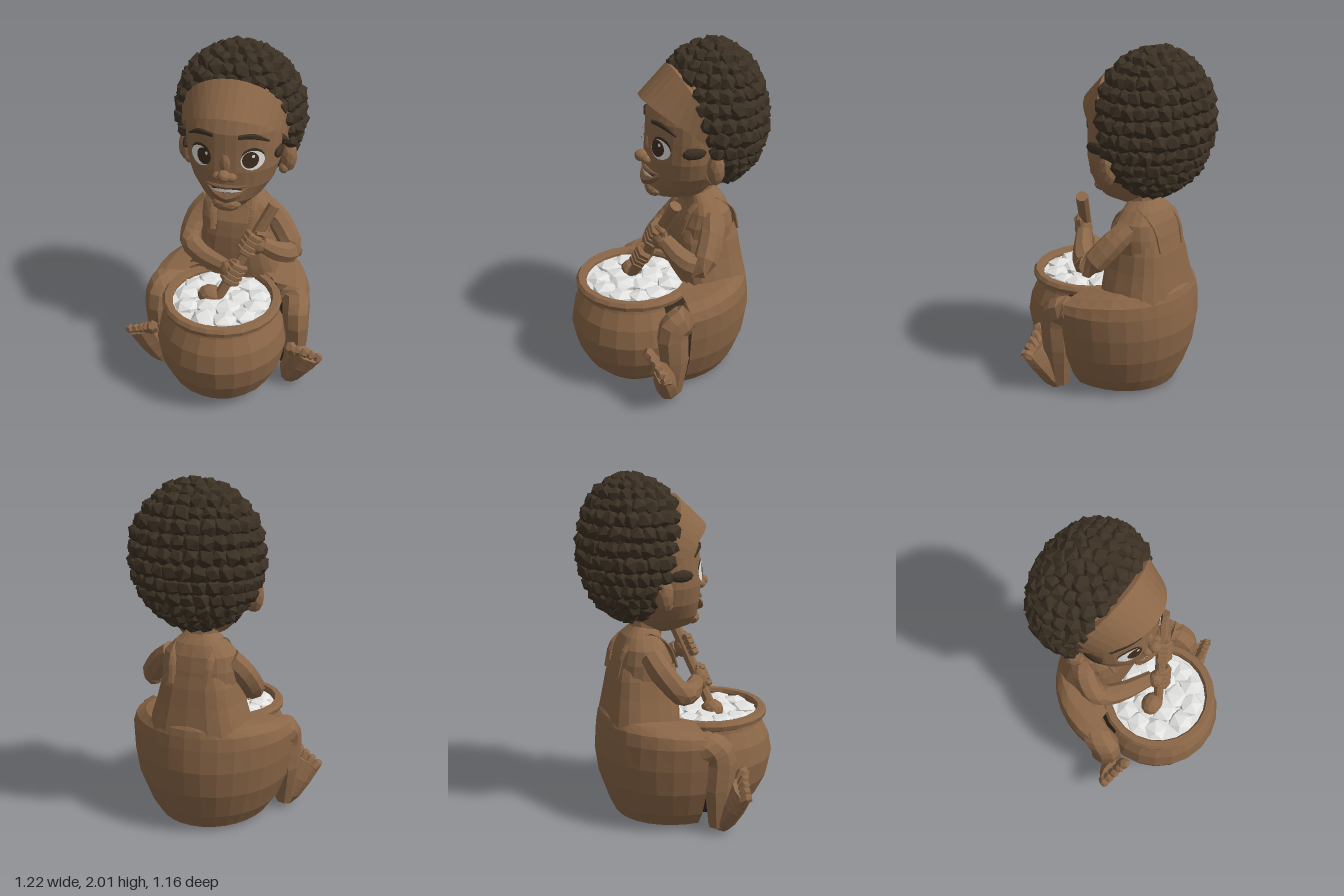
import * as THREE from 'three';
import { mergeGeometries } from 'three/addons/utils/BufferGeometryUtils.js';

const V = (x, y, z) => new THREE.Vector3(x, y, z);
const mat = (name, color) => Object.assign(new THREE.MeshStandardMaterial({ color }), { name });

export function createModel() {
  const model = new THREE.Group();
  const skin = mat('brown', 0x8c6849);
  const cloth = mat('cloth brown', 0x8a6647);
  cloth.side = THREE.DoubleSide;
  const dark = mat('hair brown', 0x3c3124);
  const inner = mat('inner brown', 0x352a1f);
  inner.side = THREE.DoubleSide;
  const iris = mat('iris brown', 0x3f2d1e);
  const lip = mat('lip brown', 0x7c5a40);
  const white = mat('white', 0xe2e2e0);

  let seed = 7;
  const rnd = () => (seed = (seed * 16807) % 2147483647) / 2147483647;

  // faceted mesh
  const add = (name, geo, material, parent = model) => {
    const g = geo.index ? geo.toNonIndexed() : geo;
    g.computeVertexNormals();
    const m = new THREE.Mesh(g, material);
    m.name = name;
    parent.add(m);
    return m;
  };
  const group = (name) => {
    const g = new THREE.Group();
    g.name = name;
    model.add(g);
    return g;
  };

  // skin a list of rings
  const loft = (rings, caps = true, closed = true) => {
    const n = rings[0].length, pos = [], idx = [];
    rings.forEach((r) => r.forEach((p) => pos.push(p.x, p.y, p.z)));
    for (let i = 0; i < rings.length - 1; i++) for (let j = 0; j < (closed ? n : n - 1); j++) {
      const a = i * n + j, b = i * n + (j + 1) % n;
      idx.push(a, b, a + n, b, b + n, a + n);
    }
    if (caps) [0, rings.length - 1].forEach((i) => {
      const c = rings[i].reduce((s, p) => s.add(p), V(0, 0, 0)).divideScalar(n);
      const k = pos.length / 3;
      pos.push(c.x, c.y, c.z);
      for (let j = 0; j < n; j++) {
        const a = i * n + j, b = i * n + (j + 1) % n;
        idx.push(...(i ? [a, b, k] : [b, a, k]));
      }
    });
    const g = new THREE.BufferGeometry();
    g.setAttribute('position', new THREE.Float32BufferAttribute(pos, 3));
    g.setIndex(idx);
    return g;
  };

  // horizontal sections [y, half width, front z, back z], widest at z = cz; higher power is boxier
  const section = ([y, w, zf, zb], cz, a, power) => {
    const f = (v) => Math.sign(v) * Math.pow(Math.abs(v), 2 / power), c = f(Math.cos(a));
    return V(w * f(Math.sin(a)), y, cz + ((c > 0 ? zf : zb) - cz) * Math.abs(c));
  };
  const stack = (rows, cz, n, caps, power = 2) => loft(rows.map((r) =>
    Array.from({ length: n }, (_, j) => section(r, cz, j / n * Math.PI * 2, power))), caps);
  const halfStack = (rows, cz, n, start) => loft(rows.map((r) =>
    Array.from({ length: n + 1 }, (_, j) => section(r, cz, start + j / n * Math.PI, 2))), false, false);

  // tapered limb along a path; radii are numbers or [along side, across]
  const limb = (pts, radii, n = 8, side = V(0.3, 0.2, 1), steps = 3) => {
    const curve = new THREE.CatmullRomCurve3(pts.map((p) => V(...p)));
    const pairs = radii.map((r) => (Array.isArray(r) ? r : [r, r]));
    const N = steps * (pts.length - 1), rings = [];
    for (let i = 0; i <= N; i++) {
      const c = curve.getPoint(i / N), t = curve.getTangent(i / N);
      const k = Math.min(Math.floor(i / steps), pts.length - 2), f = i / steps - k;
      const r = [0, 1].map((q) => THREE.MathUtils.lerp(pairs[k][q], pairs[k + 1][q], f));
      const n1 = side.clone().addScaledVector(t, -side.dot(t)).normalize();
      const n2 = t.clone().cross(n1);
      rings.push(Array.from({ length: n }, (_, j) => {
        const a = j / n * Math.PI * 2;
        return c.clone().addScaledVector(n1, r[0] * Math.cos(a)).addScaledVector(n2, r[1] * Math.sin(a));
      }));
    }
    return loft(rings);
  };
  const ball = (name, p, s, material, parent) => {
    const m = add(name, new THREE.IcosahedronGeometry(1, 1), material, parent);
    m.position.set(...p);
    m.scale.set(...s);
    return m;
  };

  // pot: brown front and rolled rim, dark base and back under the skirt
  const lathe = (name, pts, material, from = 0, len = Math.PI * 2, n = 22) => {
    add(name, new THREE.LatheGeometry(pts.map((p) => new THREE.Vector2(...p)), n, from, len), material).position.z = .2;
  };
  const wall = [[.23, .01], [.3, .08], [.36, .2], [.385, .33], [.365, .44], [.32, .53], [.315, .55]];
  lathe('potFront', wall, cloth, -1.85, 3.7, 13);
  lathe('potBack', wall, inner, 1.85, Math.PI * 2 - 3.7, 9);
  lathe('potBase', [[0, .01], [.23, .01]], inner);
  lathe('potRim', [[.315, .55], [.345, .565], [.35, .59], [.335, .61], [.3, .61], [.29, .59], [.29, .54]], cloth);

  // lumpy white filling
  add('potFilling', new THREE.CircleGeometry(.295, 22).rotateX(-Math.PI / 2).translate(0, .575, .2), white);
  const lumps = [];
  for (const [r, n] of [[0, 1], [.1, 5], [.21, 11]]) for (let k = 0; k < n; k++) {
    const a = (k + .6 * rnd()) / n * Math.PI * 2, s = r > .2 ? .08 : .09;
    lumps.push(new THREE.IcosahedronGeometry(1, 0).rotateX(rnd() * 6).rotateY(rnd() * 6)
      .scale(s, .035, s).translate(r * Math.sin(a), .573 + .014 * rnd(), .2 + r * Math.cos(a)));
  }
  add('fillingLumps', mergeGeometries(lumps), white);

  // skirt hollowed around the pot, dark on its hidden front and inside
  const hem = [[.015, .33, -.08, -.38], [.1, .39, -.1, -.42], [.25, .45, -.12, -.47], [.4, .475, -.14, -.49], [.53, .485, -.14, -.48]];
  const lining = hem.map(([y, w, zf, zb]) => [y, w - .012, zf, zb + .012]);
  add('skirtBack', halfStack(hem, .01, 16, Math.PI / 2), cloth);
  add('skirtFront', halfStack(hem, .01, 12, -Math.PI / 2), inner);
  add('skirtLining', halfStack(lining, .01, 16, Math.PI / 2), inner);
  // lap, sloping down toward the knees
  const lap = stack([hem[4], [.6, .465, -.14, -.47], [.64, .4, -.12, -.46], [.66, .27, -.1, -.445]], .01, 32, false);
  const lp = lap.attributes.position;
  for (let i = 0; i < lp.count; i++) {
    const y = lp.getY(i);
    lp.setY(i, y - Math.max(0, lp.getZ(i) + .27) * 1.3 * (y - .53));
  }
  add('skirtLap', lap, cloth);

  // torso, bodice, straps and neck
  add('torso', stack([[.56, .26, -.05, -.43], [.68, .235, -.04, -.415], [.82, .215, -.04, -.395], [.95, .22, -.06, -.375],
    [1.03, .205, -.1, -.355], [1.09, .145, -.12, -.325], [1.14, .08, -.13, -.275]], -.2, 20, true, 2.6), skin);
  add('bodice', stack([[.6, .29, -.035, -.455], [.66, .272, -.03, -.445], [.76, .24, -.028, -.427], [.86, .216, -.03, -.41], [.93, .185, -.04, -.392]],
    -.2, 20, false, 2.9), cloth);
  for (const s of [1, -1]) {
    add('strap', limb([[s * .11, .9, -.045], [s * .12, 1.03, -.095], [s * .115, 1.1, -.2], [s * .11, 1.02, -.352], [s * .1, .88, -.395]],
      Array(5).fill([.008, .022]), 6), cloth);
  }
  add('neck', limb([[0, 1.05, -.2], [0, 1.25, -.17]], [.1, .085], 10), skin);

  // legs, feet and toes
  for (const s of [1, -1]) {
    const leg = group(s > 0 ? 'leftLeg' : 'rightLeg');
    add('shin', limb([[s * .34, .48, -.12], [s * .41, .515, .02], [s * .425, .47, .095], [s * .43, .27, .095], [s * .41, .03, .1]],
      [[.09, .09], [.09, .085], [.1, .08], [.095, .07], [.06, .05]]), skin, leg);
    add('foot', limb([[s * .4, .012, .12], [s * .42, .07, .135], [s * .465, .17, .165], [s * .51, .265, .195]],
      [[.05, .05], [.08, .065], [.095, .065], [.1, .045]], 8, V(s * .87, -.5, 0)), skin, leg);
    for (let i = 0; i < 5; i++) {
      const f = i / 4, x = .435 + .13 * f, y = .29 - .065 * f, r = i ? .028 : .036, z = .02 - .045 * f;
      add('toe', limb([[s * x, y, .2 + z], [s * (x - .01 + .03 * f), y + .045 - .02 * f, .225 + z], [s * (x - .015 + .045 * f), y + .06 - .03 * f, .245 + z]],
        [r, r, r * .65], 6, undefined, 1), skin, leg);
    }
  }

  // stirring stick and paddle
  const low = V(-.04, .56, .225), high = V(.265, 1.16, .035);
  add('stirringStick', limb([low.toArray(), high.toArray()], [.03, .036], 8, undefined, 1), skin);
  ball('paddle', [-.07, .6, .2], [.075, .06, .065], skin);

  // arms, with fingers curled round the stick
  const dir = high.clone().sub(low).normalize();
  const u = V(0, 0, 1).addScaledVector(dir, -dir.z).normalize(), w = dir.clone().cross(u);
  const arms = {
    leftArm: { s: 1, t: .62, path: [[.17, 1.0, -.22], [.26, .93, -.18], [.355, .8, -.08], [.3, .83, .0], [.2, .92, .08]] },
    rightArm: { s: -1, t: .33, path: [[-.17, 1.0, -.22], [-.235, .92, -.18], [-.26, .79, -.07], [-.18, .765, .02], [.02, .755, .13]] },
  };
  for (const [name, { s, t, path }] of Object.entries(arms)) {
    const arm = group(name);
    add('arm', limb(path, [.068, .07, .068, .062, .045]), skin, arm);
    const c = low.clone().lerp(high, t);
    const p = c.clone().add(V(s * .03, 0, -.005));
    ball('palm', p.toArray(), [.055, .07, .05], skin, arm);
    for (let k = 0; k < 4; k++) {
      const arc = [0, 1, 2, 3].map((q) => {
        const a = -s * 1.5 + s * q * .95;
        return c.clone().addScaledVector(dir, (k - 1.5) * .033).addScaledVector(u, .048 * Math.cos(a)).addScaledVector(w, .048 * Math.sin(a)).toArray();
      });
      add('finger', limb(arc, [.021, .023, .022, .015], 6, dir, 1), skin, arm);
    }
    const th = c.clone().addScaledVector(dir, .07);
    add('thumb', limb([p.toArray(), [th.x + s * .04, th.y, th.z + .01], [th.x, th.y + .02, th.z + .035]], [.025, .022, .014], 6), skin, arm);
  }

  // head
  const head = group('head');
  const face = [[1.1, .05, 0, -.16], [1.13, .11, .085, -.22], [1.19, .175, .115, -.27], [1.28, .235, .12, -.33], [1.38, .265, .125, -.35],
    [1.5, .272, .115, -.36], [1.6, .272, .11, -.36], [1.72, .25, .06, -.36], [1.82, .16, -.05, -.3]];
  add('face', stack(face, -.1, 28), skin, head);
  const faceZ = (x, y) => {
    const i = Math.max(0, face.findIndex((r) => r[0] > y) - 1), f = (y - face[i][0]) / (face[i + 1][0] - face[i][0]);
    const [, hw, zf] = face[i].map((v, k) => THREE.MathUtils.lerp(v, face[i + 1][k], f));
    return -.1 + (zf + .1) * Math.sqrt(Math.max(0, 1 - (x / hw) ** 2));
  };
  // thin oval laid over the face
  const patch = (name, x, y, rx, ry, lift, material) => {
    const g = new THREE.RingGeometry(.01, 1, 16, 3).scale(rx, ry, 1).translate(x, y, 0), p = g.attributes.position;
    for (let i = 0; i < p.count; i++) p.setZ(i, faceZ(p.getX(i), p.getY(i)) + lift);
    return add(name, g, material, head);
  };
  for (const s of [1, -1]) {
    const ex = s > 0 ? .148 : -.143, ix = s > 0 ? .138 : -.12;
    patch('eyelash', ex, 1.467, .06, .06, .005, dark);
    patch('eyeWhite', ex, 1.455, .061, .058, .009, white);
    patch('iris', ix, 1.46, .043, .049, .013, iris);
    patch('eyeGlint', ix + .016, 1.482, .008, .01, .016, white);
    add('eyebrow', limb([.07, .15, .225].map((x, i) => [s * x, [1.59, 1.593, 1.55][i], faceZ(x, 1.58) + .003]),
      [[.013, .009], [.017, .009], [.006, .006]], 6, V(0, 1, 0)), dark, head);
    ball('ear', [s * .3, 1.365, -.18], [.05, .095, .05], skin, head);
    ball('earLobe', [s * .278, 1.3, -.16], [.03, .035, .035], skin, head);
    ball('nostril', [s * .038, 1.357, .13], [.032, .026, .03], skin, head);
    ball('sideburn', [s * .262, 1.455, -.07], [.024, .036, .07], dark, head);
  }
  ball('nose', [0, 1.37, .15], [.038, .035, .04], skin, head);
  ball('noseBridge', [0, 1.42, .105], [.035, .07, .03], skin, head);

  // smiling mouth
  const smile = (dy, curve, z) => [-.11, -.06, .01, .075, .125].map((x, i) => [x, dy + curve * [1, .35, 0, .35, 1][i], faceZ(x, dy) + z]);
  patch('mouthInside', .008, 1.264, .1, .026, .006, iris);
  patch('teeth', .01, 1.271, .086, .011, .014, white);
  add('upperLip', limb(smile(1.292, .004, .008), [.005, .011, .014, .011, .005], 6), lip, head);
  add('lowerLip', limb(smile(1.226, .06, .012), [.006, .021, .032, .021, .006], 6), lip, head);
  ball('chin', [0, 1.165, .085], [.085, .045, .045], skin, head);

  // headband, broad over the brow and tapering to the ears
  const band = [];
  for (let i = 0; i <= 20; i++) {
    const a = (i / 20 - .5) * Math.PI, c = Math.cos(a), q = Math.sin(a), e = Math.pow(Math.max(c, 0), .85);
    band.push([V(.325 * q, 1.52 + .35 * e, -.18 + .165 * c), V(.3 * q, 1.52 + .34 * e, -.2 + .16 * c),
      V(.27 * q, 1.47 + .23 * e, -.17 + .24 * c), V(.305 * q, 1.46 + .25 * e, -.17 + .325 * c)]);
  }
  add('headband', loft(band), cloth, head);

  // curly hair: core trimmed behind the hairline, covered in rows of tufts
  const hairline = (y) => -.055 - (1.92 - y) * .27;
  const core = new THREE.SphereGeometry(1, 24, 16).scale(.35, .375, .26).translate(0, 1.582, -.28), cp = core.attributes.position;
  for (let i = 0; i < cp.count; i++) cp.setZ(i, Math.min(cp.getZ(i), hairline(cp.getY(i))));
  add('hairCore', core, dark, head);
  const tufts = [];
  for (let r = 0; r <= 15; r++) {
    const lat = r / 15 * Math.PI, n = Math.max(1, Math.round(29 * Math.sin(lat)));
    for (let k = 0; k < n; k++) {
      const a = (k + (r % 2) / 2) / n * Math.PI * 2, c = Math.cos(a);
      const x = .342 * Math.sin(lat) * Math.sin(a), y = 1.58 + .372 * Math.cos(lat), z = -.28 + (c > 0 ? .31 : .25) * Math.sin(lat) * c;
      if (z > hairline(y) + .03) continue;
      const size = .047 + .012 * rnd();
      tufts.push(new THREE.IcosahedronGeometry(size, 0).rotateX(rnd() * 6).rotateY(rnd() * 6).translate(x, y, Math.min(z, hairline(y))));
    }
  }
  add('hairTufts', mergeGeometries(tufts), dark, head);

  return model;
}
